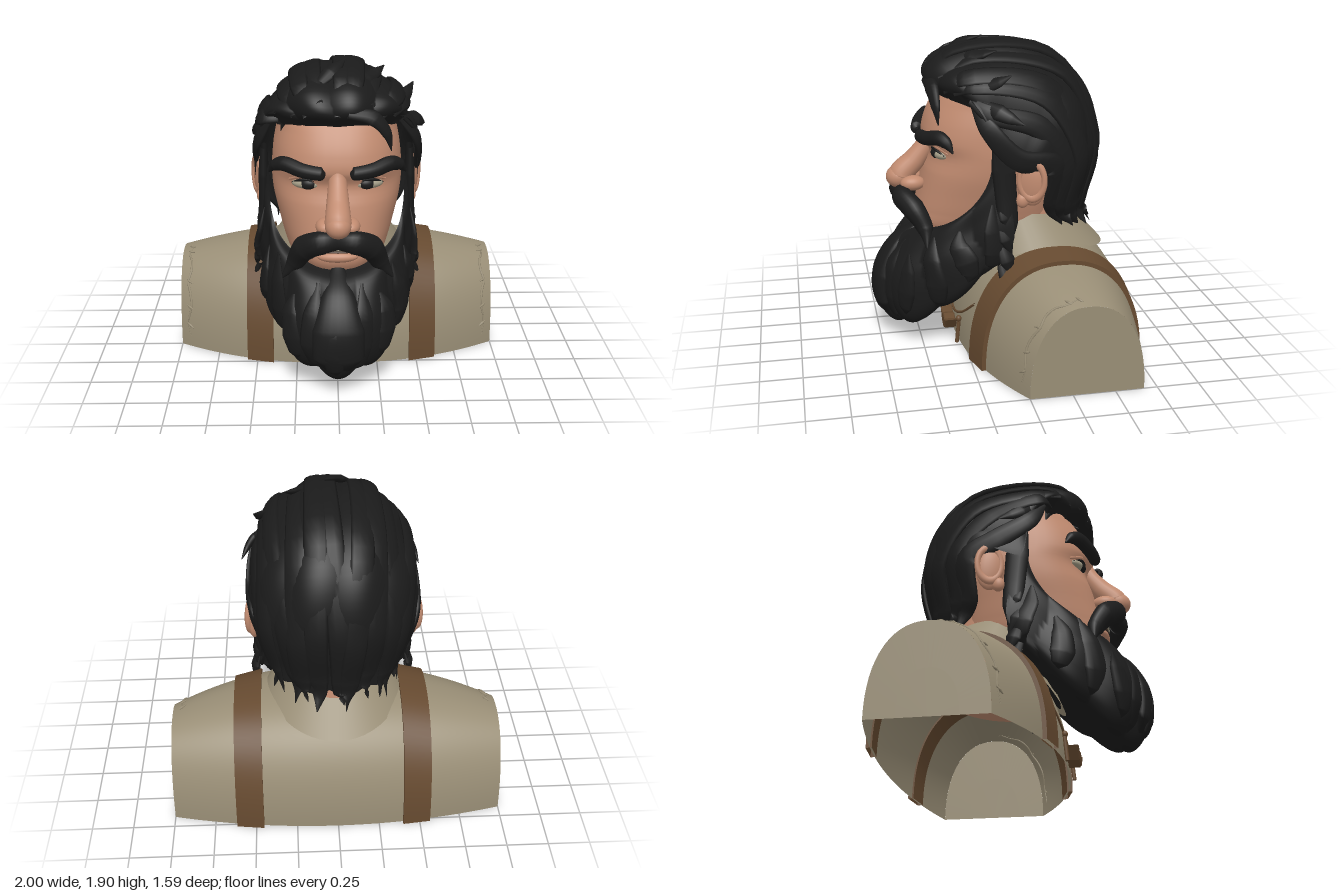
import * as THREE from 'three';
import { ParametricGeometry } from 'three/addons/geometries/ParametricGeometry.js';
import { toCreasedNormals } from 'three/addons/utils/BufferGeometryUtils.js';

const V = (x, y, z) => new THREE.Vector3(x, y, z);
const curve = (pts) => new THREE.CatmullRomCurve3(pts.map((p) => V(...p)));
const paint = (name, color) => {
  const m = new THREE.MeshStandardMaterial({ color, side: THREE.DoubleSide });
  m.name = name;
  return m;
};
const spow = (s, k) => Math.sign(s) * Math.pow(Math.abs(s), k);

// Point on the torso: x across, t from the front hem (0) over the shoulder to the back hem (1)
function torsoPoint(x, t, out = 0) {
  const a = Math.abs(x);
  const front = 0.28 - 0.28 * Math.pow(a, 2.2), back = -0.79 + 0.12 * a * a;
  const half = (front - back) / 2 + out, top = 0.7 - 0.16 * a * a + out;
  const c = Math.cos(t * Math.PI), s = Math.max(0, Math.sin(t * Math.PI));
  return V(x, top * Math.pow(s, 0.87), (front + back) / 2 + half * spow(c, 0.87));
}

// Hair and beard sheets run between a centre profile and a side profile
const hairMid = curve([[0, 1.57, 0.38], [0, 1.66, 0.45], [0, 1.76, 0.4], [0, 1.84, 0.22], [0, 1.87, -0.05], [0, 1.79, -0.32],
  [0, 1.62, -0.51], [0, 1.38, -0.6], [0, 1.08, -0.58], [0, 0.93, -0.54], [0, 0.82, -0.53]]);
const hairSide = curve([[0.34, 1.53, 0.2], [0.38, 1.56, 0.19], [0.44, 1.48, 0.15], [0.475, 1.34, 0.11], [0.485, 1.18, 0.07], [0.495, 1.2, -0.03],
  [0.5, 1.24, -0.13], [0.485, 1.19, -0.2], [0.455, 1.08, -0.22], [0.41, 0.96, -0.22], [0.37, 0.88, -0.25]]);
const beardMid = curve([[0, 0.74, 0.47], [0, 0.69, 0.6], [0, 0.56, 0.7], [0, 0.42, 0.75], [0, 0.25, 0.74], [0, 0.14, 0.68],
  [0, 0.11, 0.62], [0, 0.26, 0.42], [0, 0.48, 0.18]]);
const beardSide = curve([[0.41, 1.26, 0.1], [0.435, 1.16, 0.07], [0.45, 1.03, 0.03], [0.475, 0.9, 0], [0.48, 0.75, 0], [0.46, 0.65, 0.06],
  [0.42, 0.6, 0.08], [0.36, 0.62, 0.05], [0.3, 0.68, 0]]);
const hairCore = V(0, 1.3, -0.1), beardCore = V(0, 0.72, 0.2);

function hairPoint(u, v) {
  const phi = (u - 0.5) * Math.PI, c = Math.max(0, Math.cos(phi)), front = 1 - Math.min(1, v * 3);
  const a = hairSide.getPoint(v), b = hairMid.getPoint(v);
  const p = V(a.x * Math.sin(phi), a.y + (b.y - a.y) * Math.pow(c, 0.8 + 0.35 * front), a.z + (b.z - a.z) * Math.pow(c, 1 + 0.6 * front));
  const ridge = Math.abs(Math.sin(phi * 5 + 0.6 * Math.sin(v * 5)));
  return p.sub(hairCore).multiplyScalar(1 + 0.05 * (ridge - 0.6)).add(hairCore);
}
function beardPoint(u, v) {
  const phi = (0.5 - u) * Math.PI, c = Math.max(0, Math.cos(phi));
  const a = beardSide.getPoint(v), b = beardMid.getPoint(v);
  const ty = Math.pow(c, 0.5 + 0.5 * Math.min(1, v * 2));
  const p = V(a.x * Math.sin(phi), a.y + (b.y - a.y) * ty, a.z + (b.z - a.z) * Math.pow(c, 1.1));
  const ridge = Math.abs(Math.cos(phi * 6 + 0.5 * Math.sin(v * 7) * Math.sin(phi)));
  return p.sub(beardCore).multiplyScalar(1 + 0.07 * Math.min(1, v * 3) * (ridge - 0.6)).add(beardCore);
}

// Rows of the head: half width, height, front depth
const headRows = curve([[0.02, 0.62, 0.3], [0.22, 0.67, 0.44], [0.3, 0.78, 0.52], [0.33, 0.87, 0.51], [0.355, 0.97, 0.49], [0.385, 1.1, 0.46],
  [0.395, 1.22, 0.425], [0.39, 1.31, 0.46], [0.38, 1.4, 0.445], [0.36, 1.5, 0.4], [0.34, 1.6, 0.33], [0.2, 1.7, 0.2], [0.01, 1.74, 0.02]]);

export function createModel() {
  const skin = paint('skin', 0xc18b70), hair = paint('black hair', 0x1b1b1b), shirt = paint('linen shirt', 0x998e76);
  const leather = paint('brown leather', 0x664a30), dark = paint('dark mouth', 0x4b3a30), ivory = paint('eye white', 0xa39c86);
  const model = new THREE.Group();

  const add = (name, geo, mat, pos = [0, 0, 0], scale = [1, 1, 1], rot = [0, 0, 0]) => {
    const m = new THREE.Mesh(geo, mat);
    m.name = name;
    m.position.set(...pos);
    m.scale.set(...scale);
    m.rotation.set(...rot);
    model.add(m);
    return m;
  };
  const sheet = (name, mat, nu, nv, f) =>
    add(name, new ParametricGeometry((u, v, target) => target.copy(f(u, v)), nu, nv), mat);
  const ball = (name, mat, pos, scale, rot) => add(name, new THREE.SphereGeometry(1, 24, 16), mat, pos, scale, rot);

  // Tapered tuft along points; flat squeezes it towards the core it lies on
  const tuft = (name, mat, pts, radii, flat, core, nu = 10, nv = 18) => {
    const path = new THREE.CatmullRomCurve3(pts);
    return sheet(name, mat, nu, nv, (u, v) => {
      const p = path.getPoint(v), t = path.getTangent(v);
      const s = p.clone().sub(core).cross(t).normalize(), n = t.clone().cross(s);
      const k = v * (radii.length - 1), i = Math.min(radii.length - 2, Math.floor(k));
      const r = radii[i] + (radii[i + 1] - radii[i]) * (k - i), a = u * Math.PI * 2;
      return p.addScaledVector(s, r * Math.cos(a)).addScaledVector(n, r * flat * Math.sin(a));
    });
  };

  // Torso, with the faces inside the neck opening left out
  const body = sheet('shirt', shirt, 64, 64, (u, v) => torsoPoint(u * 2 - 1, v)).geometry;
  const pos = body.attributes.position, kept = [];
  for (let i = 0; i < body.index.count; i += 3) {
    const tri = [0, 1, 2].map((k) => body.index.getX(i + k));
    const x = tri.reduce((s, k) => s + pos.getX(k) / 3, 0), z = tri.reduce((s, k) => s + pos.getZ(k) / 3, 0);
    if (Math.hypot(x / 0.36, (z + 0.2) / 0.41) > 1) kept.push(...tri);
  }
  body.setIndex(kept);

  // Flat sleeve ends, each with a raised seam and a few cross stitches
  for (const s of [-1, 1]) {
    sheet('sleeveEnd', shirt, 2, 40, (u, v) => V(s, 0, -0.33).lerp(torsoPoint(s, s > 0 ? 1 - v : v), u));
    const row = [];
    for (let i = 0; i <= 8; i++) row.push(torsoPoint(s * (0.94 + 0.012 * Math.sin(i * 2)), 0.03 + i * 0.055, 0.001));
    tuft('shoulderSeam', shirt, row, [0.004, 0.008, 0.008, 0.004], 1, V(s * 0.9, 0, -0.33), 6, 32);
    for (const t of [0.06, 0.13, 0.24, 0.42, 0.47]) {
      tuft('stitch', shirt, [0.92, 0.94, 0.96].map((x, i) => torsoPoint(s * x, t + 0.008 * i, 0.004)),
        [0.003, 0.009, 0.003], 1, V(s * 0.9, 0, -0.4), 6, 4);
    }
  }

  // Collar wrapped round the neck
  sheet('collar', shirt, 48, 6, (u, v) => {
    const a = (u - 0.5) * Math.PI * 2, c = Math.cos(a), s = Math.sin(a);
    const low = V(0.42 * s, 0.66 - (c > 0 ? 0.31 : 0.09) * c * c, -0.2 + 0.47 * c);
    const high = V(0.3 * s, 0.85 - (c > 0 ? 0.43 : 0.09) * c * c, -0.13 + 0.37 * c);
    return low.lerp(high, v);
  });
  tuft('neckPiping', leather, [[-0.38, 0.14], [-0.2, 0.075], [0, 0.05], [0.2, 0.075], [0.38, 0.14]].map(([x, t]) => torsoPoint(x, t, 0.005)),
    [0.008, 0.008], 1, V(0, 0, -0.3), 6, 24);

  // Straps over the shoulders, following the slope of the shirt
  for (const x of [-0.48, 0.535]) {
    const g = new ParametricGeometry((u, v, target) => {
      const k = Math.round(u * 4) % 4;
      target.copy(torsoPoint(x + (k < 2 ? -0.083 : 0.083), v, k === 1 || k === 2 ? 0.025 : -0.01));
    }, 4, 40);
    add('strap', toCreasedNormals(g, 0.7), leather);
  }

  // Laces and clasp on the chest
  for (const x of [-0.17, 0.21]) {
    add('lace', new THREE.CylinderGeometry(0.012, 0.012, 0.16, 8), leather, [x, 0.08, 0.285], [1, 1, 1], [-0.1, 0, 0]);
    ball('laceKnot', leather, [x, 0.16, 0.28], [0.018, 0.02, 0.018]);
  }
  const plate = new THREE.Shape([[-0.11, 0.05], [-0.05, 0.03], [0, 0.045], [0.05, 0.03], [0.11, 0.05], [0.06, -0.015], [0, -0.04], [-0.06, -0.015]]
    .map((p) => new THREE.Vector2(...p)));
  add('clasp', new THREE.ExtrudeGeometry(plate, { depth: 0.06, bevelEnabled: true, bevelSize: 0.006, bevelThickness: 0.006, bevelSegments: 1 }),
    leather, [0.025, 0.065, 0.285]);

  // Neck and head
  add('neck', new THREE.CylinderGeometry(0.26, 0.3, 0.65, 32), skin, [0, 0.75, -0.13], [1, 1, 1], [0.12, 0, 0]);
  sheet('head', skin, 48, 48, (u, v) => {
    const r = headRows.getPoint(v), a = (u - 0.5) * Math.PI * 2, c = Math.cos(a);
    return V(r.x * spow(Math.sin(a), 0.82), r.y, (c > 0 ? r.z : Math.min(0.32, r.x)) * spow(c, 0.82));
  });
  tuft('nose', skin, [V(0, 1.42, 0.4), V(0, 1.27, 0.425), V(0, 1.15, 0.505), V(0, 1.06, 0.59), V(0, 1.02, 0.59)],
    [0.03, 0.052, 0.066, 0.078, 0.05], 1, V(0, 1.1, 0), 20, 24);
  ball('noseTip', skin, [0, 1.045, 0.605], [0.075, 0.07, 0.08]);
  ball('lowerLip', skin, [0, 0.82, 0.505], [0.12, 0.035, 0.045]);
  ball('mouthLine', dark, [0, 0.858, 0.505], [0.12, 0.012, 0.04]);
  ball('teeth', ivory, [0, 0.876, 0.51], [0.09, 0.014, 0.04]);

  for (const s of [-1, 1]) {
    const side = (pts) => pts.map(([x, y, z]) => V(s * x, y, z));
    ball('nostril', skin, [s * 0.077, 1.02, 0.53], [0.052, 0.046, 0.075]);
    ball('eye', ivory, [s * 0.18, 1.228, 0.374], [0.088, 0.032, 0.045], [0, s * 0.25, 0]);
    ball('iris', hair, [s * 0.172, 1.23, 0.402], [0.046, 0.031, 0.024], [0, s * 0.2, 0]);
    tuft('lashLine', hair, side([[0.1, 1.238, 0.405], [0.15, 1.26, 0.417], [0.21, 1.258, 0.402], [0.265, 1.23, 0.36]]),
      [0.002, 0.008, 0.009, 0.004], 1, V(0, 1.25, 0), 8, 12);
    tuft('upperLid', skin, side([[0.08, 1.245, 0.4], [0.14, 1.28, 0.406], [0.2, 1.28, 0.396], [0.28, 1.245, 0.34]]),
      [0.006, 0.018, 0.018, 0.006], 1, V(0, 1.25, 0));
    tuft('lowerLid', skin, side([[0.09, 1.208, 0.393], [0.18, 1.183, 0.386], [0.27, 1.208, 0.338]]), [0.006, 0.015, 0.006], 1, V(0, 1.2, 0));
    tuft('eyebrow', hair, side([[0.07, 1.32, 0.48], [0.09, 1.318, 0.48], [0.2, 1.33, 0.455], [0.31, 1.355, 0.395], [0.36, 1.335, 0.36], [0.4, 1.285, 0.33]]),
      [0.008, 0.04, 0.043, 0.045, 0.035, 0.004], 0.9, V(0, 1.32, 0), 12, 28);
    tuft('moustache', hair, side([[-0.01, 0.945, 0.585], [0.09, 0.945, 0.6], [0.19, 0.89, 0.54], [0.25, 0.78, 0.48], [0.33, 0.675, 0.48]]),
      [0.045, 0.07, 0.075, 0.055, 0.004], 0.85, V(0, 0.9, 0.1), 14, 28);

    // Ear: bowl, rim and lobe, flaring out towards the back
    ball('ear', skin, [s * 0.473, 1.1, -0.11], [0.035, 0.135, 0.085], [0.12, -s * 0.35, 0]);
    add('earRim', new THREE.TorusGeometry(0.072, 0.018, 10, 28), skin, [s * 0.492, 1.125, -0.115], [1, 1.5, 1], [0, Math.PI / 2 - s * 0.35, 0]);
    ball('earLobe', skin, [s * 0.467, 1.0, -0.065], [0.03, 0.045, 0.038]);

    // Sideburn joining hair and beard in front of the ear
    tuft('sideburn', hair, side([[0.44, 1.36, 0.06], [0.445, 1.2, 0.045], [0.45, 1.02, 0.03], [0.46, 0.86, 0.02], [0.46, 0.72, 0.02]]),
      [0.05, 0.07, 0.065, 0.06, 0.02], 0.45, V(0, 1.05, 0.03), 10, 24);
  }

  // Hair: swept-back cap, long locks ending in points at the nape
  sheet('hairCap', hair, 110, 50, hairPoint);
  for (let i = 0; i <= 12; i++) {
    const u = 0.03 + i * 0.0783, bend = 0.025 * Math.sin(i * 2.3), start = 0.06 + 0.1 * (0.5 + 0.5 * Math.sin(i * 4.1));
    const pts = [0, 0.2, 0.45, 0.7, 0.9, 1].map((k) => hairPoint(u + bend * Math.sin(k * 5), start + (1 - start) * k));
    const tip = pts[5].clone().add(V(0.02 * Math.sin(i * 3), -0.07 - 0.03 * Math.cos(i * 2.7), -0.05));
    tuft('hairLock', hair, [...pts, tip], [0.02, 0.055, 0.07, 0.07, 0.065, 0.045, 0.003], 0.3, hairCore, 10, 36);
  }

  // Loose flicks on the crown, temples and forehead
  const flicks = [
    [[0.06, 1.66, 0.44], [0.2, 1.63, 0.42], [0.28, 1.54, 0.41], [0.31, 1.43, 0.4]],
    [[-0.1, 1.8, 0.28], [-0.02, 1.86, 0.2], [0.05, 1.9, 0.1]],
    [[0.1, 1.79, 0.28], [0.2, 1.81, 0.15], [0.28, 1.85, 0.05]],
    [[0.3, 1.66, 0.2], [0.4, 1.68, 0.1], [0.46, 1.74, 0]],
    [[0.42, 1.56, 0.13], [0.49, 1.52, 0.05], [0.54, 1.47, -0.06]],
    [[-0.42, 1.54, 0.13], [-0.48, 1.47, 0.05], [-0.51, 1.42, -0.06]],
    [[-0.06, 1.66, 0.4], [-0.2, 1.64, 0.32], [-0.3, 1.58, 0.23], [-0.33, 1.48, 0.2]],
  ];
  for (const f of flicks) tuft('hairFlick', hair, f.map((p) => V(...p)), [0.03, 0.05, 0.035, 0.003], 0.5, hairCore);

  // Beard: full sheet, overlapping locks and a broad chin lock
  sheet('beard', hair, 110, 44, beardPoint);
  for (let i = 0; i <= 10; i++) {
    const u = 0.04 + i * 0.092, v0 = 0.2 + 0.06 * Math.sin(i * 2.9), v1 = 0.62 + 0.05 * Math.cos(i * 3.3);
    const pts = [0, 0.3, 0.6, 0.85, 1].map((k) => beardPoint(u + 0.015 * Math.sin(k * 4 + i), v0 + (v1 - v0) * k));
    tuft('beardLock', hair, pts, [0.01, 0.06, 0.075, 0.05, 0.003], 0.35, beardCore, 10, 24);
  }
  tuft('chinLock', hair, [V(0, 0.74, 0.5), V(0, 0.62, 0.64), V(0, 0.45, 0.72), V(0, 0.28, 0.725), V(0, 0.09, 0.64)],
    [0.04, 0.1, 0.15, 0.15, 0.01], 0.4, V(0, 0.5, 0), 20, 28);
  for (const s of [-1, 1]) {
    for (let i = 0; i < 4; i++) {
      const y = 1.0 - i * 0.13, x = 0.43 + 0.015 * i;
      tuft('cheekTuft', hair, [V(s * x, y, 0.06), V(s * (x + 0.03), y - 0.1, 0.03), V(s * (x + 0.035), y - 0.2, 0.0)],
        [0.03, 0.05, 0.003], 0.5, beardCore);
    }
  }
  return model;
}
